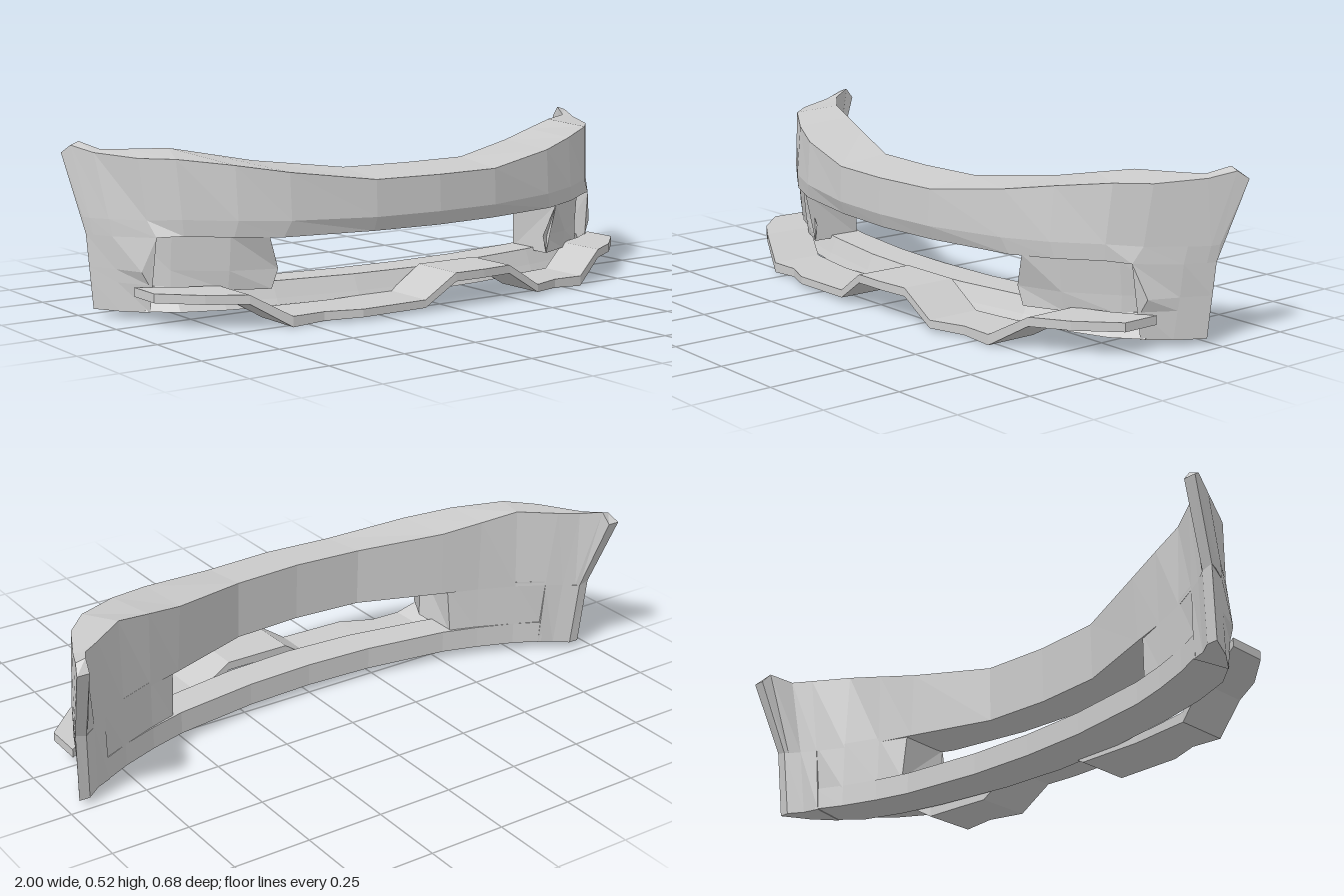
import * as THREE from 'three';

const material = new THREE.MeshStandardMaterial({ color: 0xcccccc, flatShading: true });

// Closed solid skinned through equal-length loops of [x, y, z], ordered along +x
function loft(name, sections) {
  const n = sections[0].length, last = sections.length - 1, index = [];
  for (let i = 0; i < last; i++) {
    for (let j = 0; j < n; j++) {
      const k = (j + 1) % n;
      const a = i * n + j, b = i * n + k, c = a + n, d = b + n;
      index.push(a, b, d, a, d, c);
    }
  }
  for (let j = 1; j < n - 1; j++) {
    index.push(0, j + 1, j);
    index.push(last * n, last * n + j, last * n + j + 1);
  }
  let geometry = new THREE.BufferGeometry();
  geometry.setAttribute('position', new THREE.Float32BufferAttribute(sections.flat(2), 3));
  geometry.setIndex(index);
  geometry = geometry.toNonIndexed();
  geometry.computeVertexNormals();
  const mesh = new THREE.Mesh(geometry, material);
  mesh.name = name;
  return mesh;
}

const mirror = (sections) =>
  sections.map((s) => s.map(([x, y, z]) => [-x, y, z])).reverse();
const bothSides = (sections) => [...mirror(sections).slice(0, -1), ...sections];

// Fascia loops, centre to wing tip: top front, waist, lower lip, lower back, upper back
const fascia = [
  [[0, 0.41, 0.25], [0, 0.295, 0.255], [0, 0.25, 0.238], [0, 0.24, 0.075], [0, 0.43, 0.07]],
  [[0.23, 0.41, 0.235], [0.23, 0.295, 0.24], [0.23, 0.25, 0.222], [0.23, 0.24, 0.06], [0.23, 0.43, 0.055]],
  [[0.5, 0.445, 0.17], [0.5, 0.3, 0.18], [0.52, 0.25, 0.165], [0.51, 0.24, -0.04], [0.5, 0.46, -0.045]],
  [[0.65, 0.47, 0.105], [0.65, 0.305, 0.12], [0.66, 0.255, 0.11], [0.63, 0.24, -0.08], [0.63, 0.485, -0.085]],
  [[0.8, 0.49, 0.015], [0.79, 0.31, 0.03], [0.785, 0.26, 0.03], [0.75, 0.24, -0.13], [0.75, 0.508, -0.12]],
  [[0.88, 0.49, -0.07], [0.865, 0.305, -0.05], [0.85, 0.255, -0.02], [0.84, 0.24, -0.18], [0.86, 0.505, -0.2]],
  [[0.95, 0.498, -0.22], [0.935, 0.302, -0.16], [0.93, 0.25, -0.15], [0.89, 0.24, -0.21], [0.92, 0.505, -0.24]],
  [[0.985, 0.515, -0.305], [0.965, 0.3, -0.225], [0.96, 0.25, -0.215], [0.925, 0.24, -0.235], [0.955, 0.525, -0.31]],
  [[1, 0.49, -0.34], [0.975, 0.302, -0.252], [0.97, 0.25, -0.245], [0.935, 0.24, -0.245], [0.96, 0.49, -0.34]],
];

// Lower wing loops: lip, bulge, step, bottom front, bottom back, upper back
const wing = [
  [[0.85, 0.255, -0.02], [0.885, 0.15, -0.052], [0.865, 0.11, -0.045], [0.86, 0.025, -0.05], [0.83, 0.025, -0.17], [0.84, 0.24, -0.18]],
  [[0.93, 0.25, -0.15], [0.923, 0.15, -0.145], [0.92, 0.11, -0.14], [0.915, 0.022, -0.13], [0.88, 0.022, -0.19], [0.89, 0.24, -0.21]],
  [[0.97, 0.25, -0.245], [0.965, 0.15, -0.234], [0.963, 0.11, -0.23], [0.96, 0.02, -0.225], [0.925, 0.02, -0.225], [0.935, 0.24, -0.245]],
];

// Recessed pocket backs beside the opening: top, middle, bottom, back bottom, back top
const pocket = [
  [[0.56, 0.255, 0.15], [0.52, 0.15, 0.13], [0.54, 0.09, 0.125], [0.54, 0.09, -0.05], [0.53, 0.255, -0.04]],
  [[0.66, 0.255, 0.09], [0.66, 0.15, 0.08], [0.66, 0.09, 0.07], [0.63, 0.09, -0.08], [0.63, 0.255, -0.08]],
  [[0.8, 0.255, -0.02], [0.8, 0.15, -0.03], [0.8, 0.09, -0.03], [0.75, 0.09, -0.13], [0.75, 0.255, -0.13]],
  [[0.88, 0.255, -0.12], [0.88, 0.15, -0.12], [0.88, 0.09, -0.12], [0.84, 0.09, -0.17], [0.84, 0.255, -0.18]],
];

// Lower bar stations: [x, front z, back x, back z]
const sill = [
  [0, 0.158, 0, 0], [0.23, 0.145, 0.23, -0.01], [0.5, 0.1, 0.51, -0.05],
  [0.66, 0.06, 0.63, -0.085], [0.79, 0.01, 0.75, -0.13], [0.87, -0.06, 0.84, -0.175],
].map(([x, f, bx, b]) => [
  [x, 0.1, f - 0.035], [x, 0.05, f - 0.012], [x, 0.027, f], [bx, 0.027, b], [bx, 0.1, b],
]);

// Splitter stations: [x, front z, back z, top y, thickness]
const splitter = [
  [-0.9, 0.05, -0.075, 0.103, 0.028], [-0.79, 0.16, 0, 0.103, 0.028],
  [-0.68, 0.228, 0.05, 0.103, 0.028], [-0.56, 0.277, 0.1, 0.033, 0.033],
  [-0.45, 0.277, 0.12, 0.034, 0.028], [-0.34, 0.322, 0.14, 0.036, 0.025],
  [-0.11, 0.325, 0.14, 0.038, 0.025], [0, 0.335, 0.14, 0.112, 0.027],
  [0.11, 0.335, 0.14, 0.112, 0.027], [0.22, 0.325, 0.14, 0.112, 0.027],
  [0.34, 0.322, 0.14, 0.036, 0.025], [0.45, 0.277, 0.12, 0.034, 0.028],
  [0.56, 0.277, 0.1, 0.033, 0.033], [0.68, 0.228, 0.05, 0.103, 0.028],
  [0.79, 0.16, 0, 0.103, 0.028], [0.9, 0.05, -0.075, 0.103, 0.028],
].map(([x, f, b, y, t]) => [[x, y, f], [x, y - t, f], [x, y - t, b], [x, y, b]]);

export function createModel() {
  const model = new THREE.Group();
  model.name = 'frontBumper';
  model.add(
    loft('upperFascia', bothSides(fascia)),
    loft('lowerBar', bothSides(sill)),
    loft('leftWing', wing),
    loft('rightWing', mirror(wing)),
    loft('leftLampPocket', pocket),
    loft('rightLampPocket', mirror(pocket)),
    loft('splitter', splitter),
  );
  return model;
}
